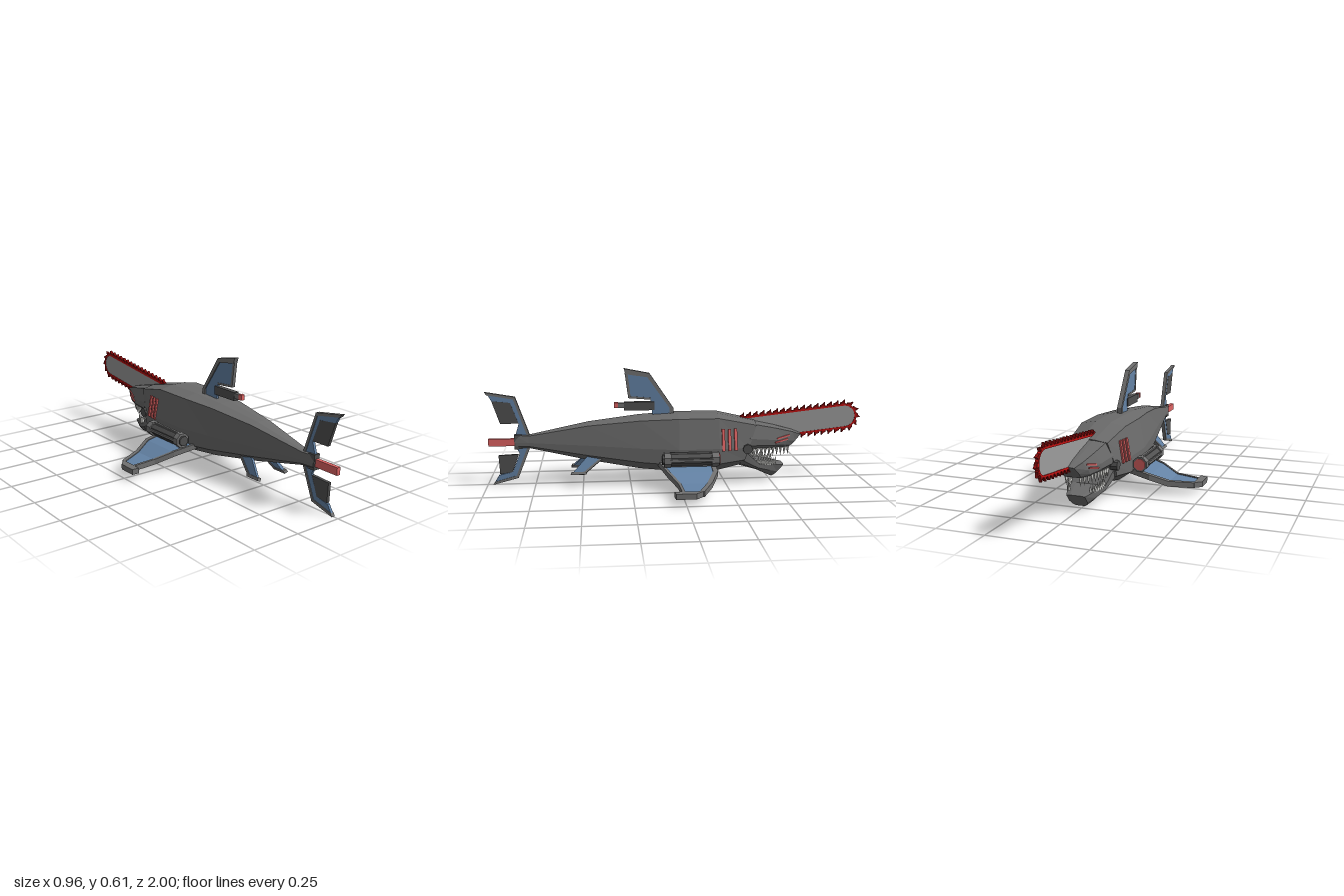
import * as THREE from 'three';

const mat = (name, color, side = THREE.FrontSide) => {
  const m = new THREE.MeshStandardMaterial({ color, flatShading: true, side });
  m.name = name;
  return m;
};

// Closed flat-shaded skin through rings of equal point count, turned outward by its signed volume
function loft(rings) {
  const tris = [], n = rings[0].length;
  for (let i = 0; i < rings.length - 1; i++)
    for (let j = 0; j < n; j++) {
      const k = (j + 1) % n, a = rings[i], b = rings[i + 1];
      tris.push([a[j], b[j], b[k]], [a[j], b[k], a[k]]);
    }
  const first = rings[0], last = rings[rings.length - 1];
  for (let j = 1; j < n - 1; j++) {
    tris.push([first[0], first[j], first[j + 1]], [last[0], last[j + 1], last[j]]);
  }
  let volume = 0;
  for (const [a, b, c] of tris) volume += a.dot(b.clone().cross(c));
  const pts = tris.flatMap(([a, b, c]) => (volume < 0 ? [a, c, b] : [a, b, c]));
  const g = new THREE.BufferGeometry().setFromPoints(pts);
  g.computeVertexNormals();
  return g;
}

// Faceted hull section: z at the bottom, bottom y, top y, half width, forward lean
function hullRing([z, y0, y1, w, lean = 0], fx) {
  const u = [1, 0.95, 0.43, 0.16, 0];
  const half = u.map((f, i) =>
    new THREE.Vector3(fx[i] * w, y0 + f * (y1 - y0), z - lean * f * (y1 - y0)));
  const other = half.map(p => new THREE.Vector3(-p.x, p.y, p.z)).reverse();
  return [...half, ...other];
}
const hull = (sections, fx) => loft(sections.map(s => hullRing(s, fx)));

// Fin slab through sections [x, y, front z, rear z], with its thickness along x or y
const slab = (sections, tx, ty) => loft(sections.map(([x, y, a, b]) => [
  new THREE.Vector3(x - tx, y - ty, a), new THREE.Vector3(x + tx, y + ty, a),
  new THREE.Vector3(x + tx, y + ty, b), new THREE.Vector3(x - tx, y - ty, b)]));

// Upright plate on the centre plane from a (z, y) outline
function plate(shape, t) {
  if (Array.isArray(shape)) shape = new THREE.Shape(shape.map(p => new THREE.Vector2(...p)));
  return new THREE.ExtrudeGeometry(shape, { depth: t, bevelEnabled: false, curveSegments: 10 })
    .translate(0, 0, -t / 2).rotateY(-Math.PI / 2);
}

// Mirror in x with the corner order kept outward
function mirrored(geo) {
  const g = geo.index ? geo.toNonIndexed() : geo.clone();
  g.scale(-1, 1, 1);
  const p = g.attributes.position, a = new THREE.Vector3(), b = new THREE.Vector3();
  for (let i = 0; i < p.count; i += 3) {
    a.fromBufferAttribute(p, i + 1);
    b.fromBufferAttribute(p, i + 2);
    p.setXYZ(i + 1, b.x, b.y, b.z);
    p.setXYZ(i + 2, a.x, a.y, a.z);
  }
  g.computeVertexNormals();
  return g;
}

const box = (w, h, d, x, y, z) => new THREE.BoxGeometry(w, h, d).translate(x, y, z);

export function createModel() {
  const model = new THREE.Group();
  model.name = 'cyborgShark';
  const hide = mat('hideGrey', 0x6b6b6b), trim = mat('trimGrey', 0x727272);
  const dark = mat('darkMetal', 0x505050), blue = mat('finBlue', 0x6483a6);
  const steel = mat('barSteel', 0x9c9c9c), chainRed = mat('chainRed', 0xc01010);
  const toothRed = mat('sawToothRed', 0x8a0c0c), glow = mat('lightRed', 0xe06464);
  const ivory = mat('toothWhite', 0xe4e4e0);

  const add = (name, geo, m) => {
    const mesh = new THREE.Mesh(geo, m);
    mesh.name = name;
    model.add(mesh);
  };
  const pair = (name, geo, m) => {
    add(name + 'Left', geo, m);
    add(name + 'Right', mirrored(geo), m);
  };

  // Body, head and open lower jaw
  add('body', hull([
    [0.85, 0.2, 0.27, 0.018], [0.78, 0.2, 0.268, 0.026], [0.47, 0.135, 0.33, 0.075],
    [0.2, 0.09, 0.362, 0.12], [0, 0.072, 0.373, 0.15], [-0.21, 0.075, 0.373, 0.15],
    [-0.335, 0.1, 0.327, 0.125, 0.35]], [0.27, 0.8, 1, 1, 0.55]), hide);
  add('head', hull([
    [-0.35, 0.187, 0.325, 0.118, 0.4], [-0.47, 0.187, 0.298, 0.1, 0.5],
    [-0.56, 0.187, 0.272, 0.075, 0.7], [-0.605, 0.187, 0.252, 0.045, 0.95],
    [-0.625, 0.205, 0.25, 0.018, 0.95]], [0.27, 0.78, 1, 1, 0.85]), hide);
  add('lowerJaw', hull([
    [-0.32, 0.095, 0.18, 0.115, 0.4], [-0.42, 0.065, 0.108, 0.096, 0.2],
    [-0.48, 0.035, 0.1, 0.072, 0.4], [-0.512, 0.02, 0.088, 0.048, 0.9]],
    [0.6, 1, 1, 0.8, 0.5]), hide);
  pair('jawHinge', new THREE.CylinderGeometry(0.026, 0.026, 0.035, 8).rotateZ(Math.PI / 2)
    .translate(0.122, 0.195, -0.36), dark);

  // Teeth along both jaw edges
  for (let i = 0; i < 10; i++) {
    const f = i / 9, r = 0.009;
    const upper = new THREE.ConeGeometry(r, 0.05, 4).rotateX(Math.PI)
      .translate(0.094 - 0.058 * f * f, 0.165, -0.395 - 0.2 * f);
    pair('upperTooth', upper, ivory);
    if (i > 7) continue;
    const lower = new THREE.ConeGeometry(r, 0.045, 4).rotateX(-0.25)
      .translate(0.087 - 0.05 * f * f, 0.125 - 0.016 * f, -0.425 - 0.125 * f);
    pair('lowerTooth', lower, ivory);
  }

  // Glowing gills and cheek marks
  for (const z of [-0.23, -0.263, -0.296]) {
    const w = 0.15 - 0.025 * (-0.21 - z) / 0.175;
    pair('gill', new THREE.BoxGeometry(0.009, 0.115, 0.015).rotateZ(0.17)
      .rotateY(0.1).translate(w * 0.945 + 0.003, 0.248, z), glow);
  }
  for (const [x, y, z] of [[0.085, 0.226, -0.55], [0.078, 0.245, -0.56]]) {
    pair('cheekMark', new THREE.BoxGeometry(0.009, 0.008, 0.075).rotateX(0.2)
      .rotateY(0.29).translate(x, y, z), glow);
  }

  // Chainsaw, drawn around its tip centre and tilted into place
  const R = 0.067, LENGTH = 0.565;
  const place = g => g.rotateX(0.112).translate(0, 0.338, -0.91);
  const stadium = (C, r, len) => {
    const s = new C();
    s.moveTo(len, r);
    s.lineTo(0, r);
    s.absarc(0, 0, r, Math.PI / 2, Math.PI * 1.5, false);
    s.lineTo(len, -r);
    s.closePath();
    return s;
  };
  add('sawBar', place(plate(stadium(THREE.Shape, 0.058, LENGTH - 0.01), 0.011)), steel);
  const loop = stadium(THREE.Shape, R, LENGTH);
  loop.holes.push(stadium(THREE.Path, 0.057, LENGTH - 0.01));
  add('sawChain', place(plate(loop, 0.016)), chainRed);
  const arc = Math.PI * R, total = 2 * LENGTH + arc;
  for (let s = 0.008; s < total; s += 0.037) {
    let z, y, turn;
    if (s < LENGTH) [z, y, turn] = [LENGTH - s, R, 0];
    else if (s < LENGTH + arc) {
      turn = (s - LENGTH) / R;
      [z, y] = [-R * Math.sin(turn), R * Math.cos(turn)];
    } else [z, y, turn] = [s - LENGTH - arc, -R, Math.PI];
    const tooth = plate([[0.013, -0.005], [0.011, 0.007], [-0.002, 0.011],
      [-0.013, 0.021], [-0.012, -0.005]], 0.015);
    add('sawTooth', place(tooth.rotateX(-turn).translate(0, y, z)), toothRed);
  }

  // Dorsal fin with a rear-facing gun
  add('dorsalFin', plate([[0.26, 0.59], [0.15, 0.575], [0.035, 0.4], [0.03, 0.36],
    [0.13, 0.36], [0.14, 0.45], [0.25, 0.46]], 0.013), blue);
  add('dorsalRim', plate([[0.28, 0.612], [0.145, 0.585], [0.02, 0.4], [0.02, 0.36],
    [0.04, 0.36], [0.04, 0.4], [0.157, 0.565], [0.27, 0.582]], 0.025), trim);
  add('dorsalRearRim', plate([[0.275, 0.59], [0.26, 0.588], [0.245, 0.465], [0.14, 0.455],
    [0.14, 0.445], [0.257, 0.455]], 0.018), trim);
  add('gunBody', box(0.026, 0.045, 0.16, 0, 0.412, 0.2), dark);
  add('gunBarrel', box(0.02, 0.026, 0.05, 0, 0.416, 0.295), trim);
  add('gunLight', box(0.022, 0.028, 0.02, 0, 0.418, 0.322), glow);

  // Tail fin, its grey flaps and the thruster
  add('tailFin', plate([[0.985, 0.485], [0.85, 0.46], [0.79, 0.267], [0.79, 0.2],
    [0.845, 0.05], [0.965, 0.015], [0.94, 0.055], [0.87, 0.07], [0.83, 0.17],
    [0.85, 0.21], [0.85, 0.26], [0.83, 0.33], [0.87, 0.44], [0.965, 0.45]], 0.014), blue);
  add('tailRim', plate([[1, 0.497], [0.845, 0.47], [0.775, 0.267], [0.775, 0.2],
    [0.84, 0.038], [0.972, 0.004], [0.962, 0.02], [0.85, 0.05], [0.79, 0.2],
    [0.79, 0.267], [0.855, 0.458], [0.99, 0.482]], 0.02), trim);
  add('upperTailFlap', plate([[0.965, 0.45], [0.87, 0.44], [0.83, 0.33], [0.925, 0.33]], 0.016), dark);
  add('lowerTailFlap', plate([[0.94, 0.16], [0.835, 0.165], [0.87, 0.07], [0.935, 0.06]], 0.016), dark);
  add('thrusterCollar', box(0.034, 0.076, 0.04, 0, 0.233, 0.835), dark);
  add('thrusterFlame', box(0.02, 0.038, 0.15, 0, 0.23, 0.915), glow);

  // Drooping pectoral fins, with a rim along both edges and the tip
  const wing = [[0.11, 0.128, -0.16, 0.1], [0.24, 0.096, -0.165, 0.06],
    [0.33, 0.061, -0.125, 0.015], [0.45, 0.05, -0.07, 0.005]];
  pair('pectoralFin', slab(wing, 0, 0.01), blue);
  pair('pectoralFrontRim', slab(wing.map(([x, y, a]) => [x, y, a - 0.022, a + 0.003]), 0, 0.014), trim);
  pair('pectoralRearRim', slab(wing.map(([x, y, , b]) => [x, y, b - 0.003, b + 0.012]), 0, 0.014), trim);
  pair('pectoralTip', slab([[0.445, 0.05, -0.09, 0.055], [0.482, 0.048, -0.05, 0.05]], 0, 0.014), trim);

  // Small pelvic fins
  const pelvic = [[0.055, 0.165, 0.385, 0.47], [0.086, 0.075, 0.5, 0.555]];
  pair('pelvicFin', slab(pelvic, 0.007, 0.003), blue);
  pair('pelvicFrontRim', slab(pelvic.map(([x, y, a]) => [x, y, a - 0.015, a + 0.002]), 0.011, 0.004), trim);
  pair('pelvicTip', slab([[0.084, 0.082, 0.478, 0.56], [0.09, 0.068, 0.485, 0.565]], 0.01, 0.003), trim);

  // Side engines with collars, rails and a red lens
  const tube = (r, z0, z1) => new THREE.CylinderGeometry(r, r, z1 - z0, 8)
    .rotateY(Math.PI / 8).rotateX(Math.PI / 2).translate(0.192, 0.163, (z0 + z1) / 2);
  pair('engineBody', tube(0.033, -0.17, 0.065), dark);
  pair('engineFrontCollar', tube(0.04, -0.198, -0.16), trim);
  pair('engineRearCollar', tube(0.04, 0.05, 0.085), trim);
  pair('engineNozzle', tube(0.027, 0.08, 0.095), dark);
  pair('engineLens', tube(0.031, -0.203, -0.195), glow);
  for (const a of [0, 1, 2, 3]) {
    const t = a * Math.PI / 2;
    pair('engineRail', box(0.012, 0.012, 0.22, 0.192 + 0.032 * Math.cos(t),
      0.163 + 0.032 * Math.sin(t), -0.055), trim);
  }
  pair('enginePylon', box(0.07, 0.03, 0.14, 0.15, 0.145, -0.06), dark);

  return model;
}
